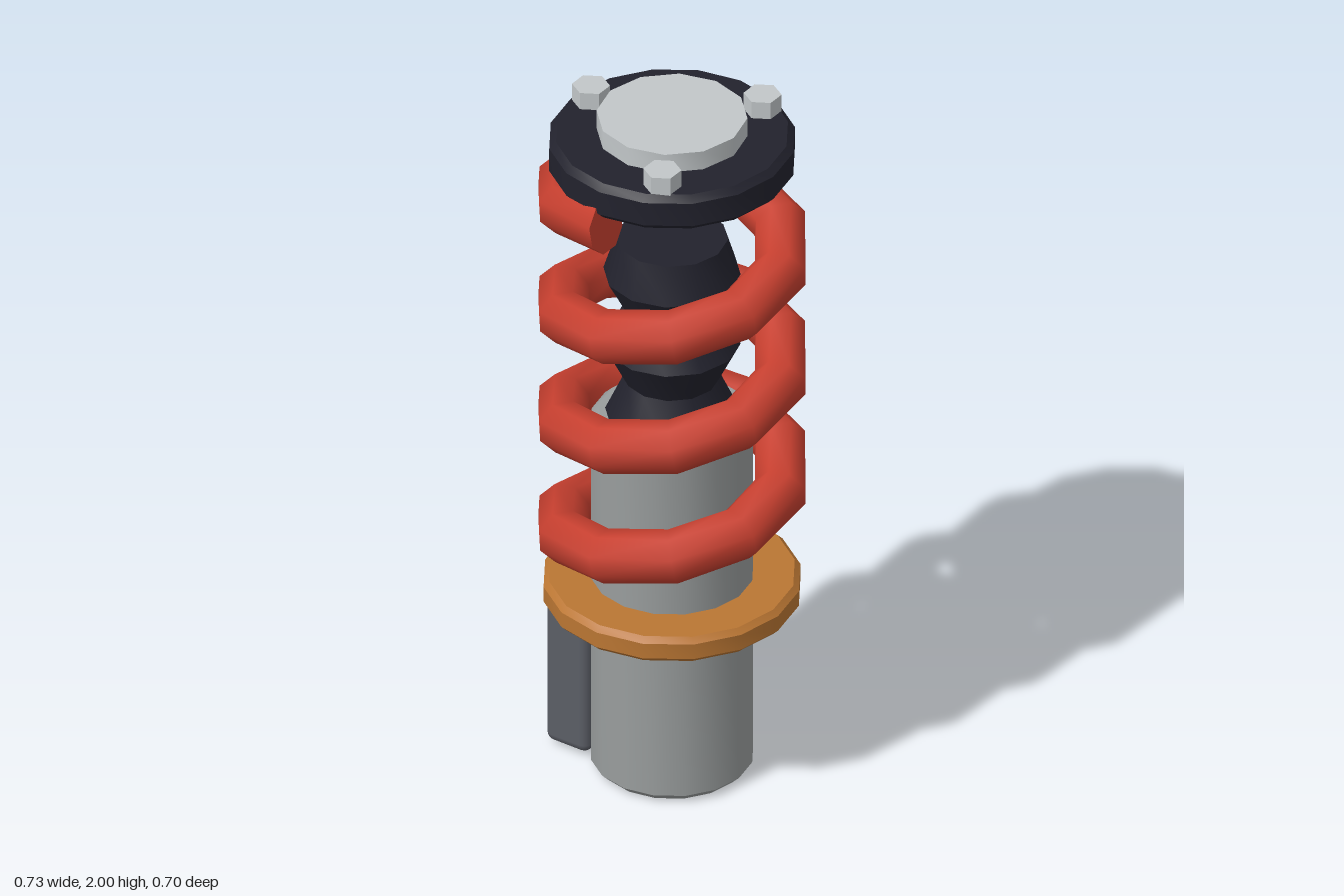
import * as THREE from 'three';
import { toCreasedNormals } from 'three/addons/utils/BufferGeometryUtils.js';
import { RoundedBoxGeometry } from 'three/addons/geometries/RoundedBoxGeometry.js';

const paint = (name, color) => {
  const m = new THREE.MeshStandardMaterial({ color });
  m.name = name;
  return m;
};

// Solid of revolution from [radius, y] pairs, bottom to top, closed at both ends
function turned(pairs, sides, crease = 0.6) {
  const pts = [[0, pairs[0][1]], ...pairs, [0, pairs[pairs.length - 1][1]]];
  const geo = new THREE.LatheGeometry(pts.map(([r, y]) => new THREE.Vector2(r, y)), sides);
  return toCreasedNormals(geo, crease);
}

// Disc or cylinder with chamfered rims
const chamfered = (r, y0, y1, b, sides) =>
  turned([[r - b, y0], [r, y0 + b], [r, y1 - b], [r - b, y1]], sides);

// Coil: an eight-sided section swept along a helix, ten steps per turn
function coilGeometry({ radius, wire, y0, pitch, turns, stepsPerTurn = 10, sides = 8 }) {
  const pos = [], index = [];
  const steps = Math.round(turns * stepsPerTurn);
  const centre = (i) => {
    const a = (i / stepsPerTurn) * Math.PI * 2;
    return new THREE.Vector3(radius * Math.cos(a), y0 + (pitch * i) / stepsPerTurn, -radius * Math.sin(a));
  };
  for (let i = 0; i <= steps; i++) {
    const a = (i / stepsPerTurn) * Math.PI * 2;
    const out = new THREE.Vector3(Math.cos(a), 0, -Math.sin(a));
    const along = new THREE.Vector3(-radius * Math.sin(a), pitch / (Math.PI * 2), -radius * Math.cos(a)).normalize();
    const up = along.clone().cross(out);
    for (let k = 0; k < sides; k++) {
      const t = ((k + 0.5) / sides) * Math.PI * 2;
      const p = centre(i).addScaledVector(out, wire * Math.cos(t)).addScaledVector(up, wire * Math.sin(t));
      pos.push(p.x, p.y, p.z);
    }
  }
  const first = pos.length / 3;
  pos.push(...centre(0).toArray(), ...centre(steps).toArray());
  for (let k = 0; k < sides; k++) {
    const n = (k + 1) % sides;
    for (let i = 0; i < steps; i++) {
      const a = i * sides + k, b = i * sides + n;
      index.push(a, b, a + sides, b, b + sides, a + sides);
    }
    index.push(first, n, k, first + 1, steps * sides + k, steps * sides + n);
  }
  const geo = new THREE.BufferGeometry();
  geo.setAttribute('position', new THREE.Float32BufferAttribute(pos, 3));
  geo.setIndex(index);
  return toCreasedNormals(geo, 1.1);
}

export function createModel() {
  const group = new THREE.Group();
  const steel = paint('steel grey', 0x999d9d);
  const bright = paint('bright steel', 0xc2c7c9);
  const dark = paint('near black', 0x22222d);
  const red = paint('spring red', 0xc63f2f);
  const bronze = paint('bronze', 0xba7633);
  const slate = paint('slate grey', 0x5b5e66);

  const add = (name, geo, mat, x = 0, y = 0, z = 0) => {
    const mesh = new THREE.Mesh(geo, mat);
    mesh.name = name;
    mesh.position.set(x, y, z);
    group.add(mesh);
    return mesh;
  };

  // Damper body, spring seat and side reservoir
  add('damperBody', chamfered(0.215, 0, 1.08, 0.022, 16), steel);
  add('springSeat', chamfered(0.34, 0.51, 0.585, 0.015, 16), bronze);
  add('reservoir', new RoundedBoxGeometry(0.26, 0.495, 0.138, 2, 0.025), slate, 0, 0.257, -0.25);

  // Bellows boot
  const bellows = [[0.18, 1.07], [0.125, 1.19], [0.18, 1.3], [0.125, 1.41], [0.18, 1.515], [0.147, 1.62]];
  add('bellowsBoot', turned(bellows, 12), dark);

  // Spring
  add('coilSpring', coilGeometry({ radius: 0.297, wire: 0.073, y0: 0.615, pitch: 0.34, turns: 3.5 }), red);

  // Top mount with centre cap and three hex bolts
  add('topMount', chamfered(0.325, 1.84, 1.945, 0.018, 16), dark);
  add('centreCap', turned([[0.198, 1.93], [0.198, 2]], 12), bright);
  const hex = toCreasedNormals(new THREE.CylinderGeometry(0.05, 0.05, 0.065, 6).rotateY(Math.PI / 6), 0.5);
  for (let i = 0; i < 3; i++) {
    const a = Math.PI + (i * Math.PI * 2) / 3;
    add('mountBolt', hex, bright, 0.26 * Math.sin(a), 1.9625, 0.26 * Math.cos(a));
  }
  return group;
}
